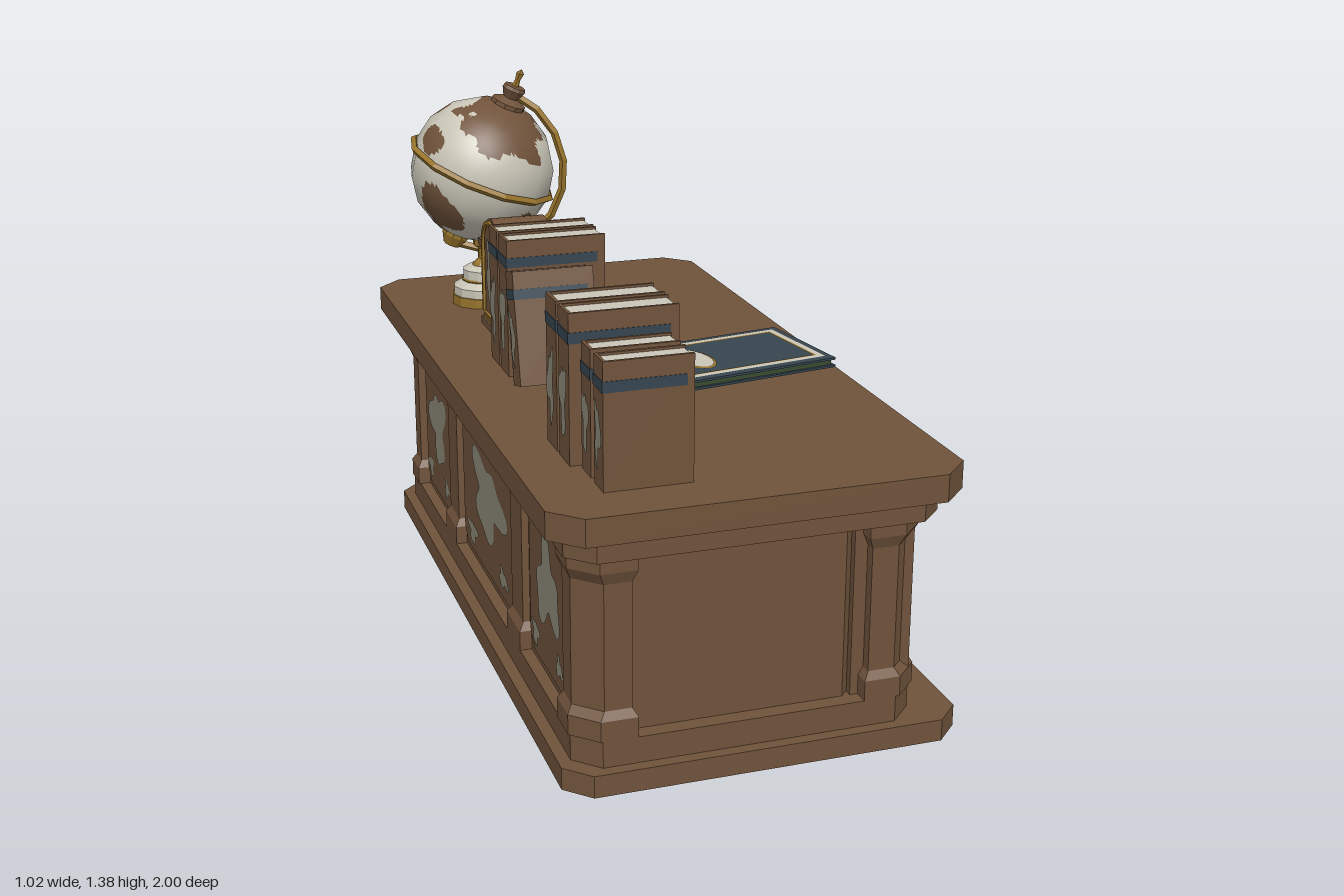
import * as THREE from 'three';

const mat = (name, color, side = THREE.FrontSide) => {
  const m = new THREE.MeshStandardMaterial({ color, side });
  m.name = name;
  return m;
};
const wood = mat('brown wood', 0x70533b), cream = mat('cream', 0xcac6b8), tan = mat('page tan', 0xb0a48c);
const gold = mat('gold', 0x98742c), blue = mat('navy blue', 0x2f4268), slate = mat('slate blue', 0x364550);
const green = mat('green', 0x394b32), red = mat('dark red', 0x652c32), grey = mat('faded grey', 0x8f8c7b);

function add(parent, name, geo, m, x = 0, y = 0, z = 0) {
  const mesh = new THREE.Mesh(geo, m);
  mesh.name = name;
  mesh.position.set(x, y, z);
  parent.add(mesh);
  return mesh;
}
const box = (w, h, d) => new THREE.BoxGeometry(w, h, d);
function group(parent, name, x = 0, y = 0, z = 0, ry = 0) {
  const g = new THREE.Group();
  g.name = name;
  g.position.set(x, y, z);
  g.rotation.y = ry;
  parent.add(g);
  return g;
}

// Rectangle in plan with a chamfer per corner: front -x, front +x, back +x, back -x
function plan(x0, x1, z0, z1, c, inset = 0) {
  const [a, b, d, e] = [x0 + inset, x1 - inset, z0 + inset, z1 - inset];
  const corners = [[a, e, 0, -1, 1, 0], [b, e, -1, 0, 0, -1], [b, d, 0, 1, -1, 0], [a, d, 1, 0, 0, 1]];
  return corners.flatMap(([x, z, ix, iz, ox, oz], i) => c[i]
    ? [[x + ix * c[i], z + iz * c[i]], [x + ox * c[i], z + oz * c[i]]] : [[x, z]]);
}

// Solid between stacked plans; levels are [y, inset]
function loft(x0, x1, z0, z1, c, levels) {
  const rings = levels.map(([y, inset]) => plan(x0, x1, z0, z1, c, inset).map(([x, z]) => [x, y, z]));
  const n = rings[0].length, top = rings[rings.length - 1], bot = rings[0], p = [];
  for (let k = 0; k + 1 < rings.length; k++) for (let i = 0; i < n; i++) {
    const j = (i + 1) % n, lo = rings[k], hi = rings[k + 1];
    p.push(...lo[i], ...lo[j], ...hi[j], ...lo[i], ...hi[j], ...hi[i]);
  }
  for (let i = 1; i + 1 < n; i++) p.push(...top[0], ...top[i], ...top[i + 1], ...bot[0], ...bot[i + 1], ...bot[i]);
  const g = new THREE.BufferGeometry();
  g.setAttribute('position', new THREE.Float32BufferAttribute(p, 3));
  g.computeVertexNormals();
  return g;
}

// Irregular flat patch
function blob(rx, ry, s) {
  const pts = [];
  for (let i = 0; i < 36; i++) {
    const a = i / 36 * Math.PI * 2, r = 0.85 + 0.22 * Math.sin(3 * a + s) + 0.16 * Math.sin(5 * a + 2 * s);
    pts.push(new THREE.Vector2(rx * r * Math.cos(a), ry * r * Math.sin(a)));
  }
  return new THREE.ShapeGeometry(new THREE.Shape(pts));
}
const oval = (rx, ry) => new THREE.CircleGeometry(1, 20).scale(rx, ry, 1);

// Rectangular flat ring
function frame(w, h, t) {
  const rect = (P, a, b) => new P([[-a, -b], [a, -b], [a, b], [-a, b]].map(q => new THREE.Vector2(...q)));
  const s = rect(THREE.Shape, w / 2, h / 2);
  s.holes.push(rect(THREE.Path, w / 2 - t, h / 2 - t));
  return new THREE.ShapeGeometry(s);
}

// Upright book with its spine on local +z
function book(parent, name, m, t, h, d, x, y, z, ry) {
  const g = group(parent, name, x, y, z, ry);
  for (const s of [-1, 1]) add(g, 'cover', box(0.008, h, d), m, s * (t / 2 - 0.004), h / 2, -d / 2);
  add(g, 'spine', box(t - 0.016, h, 0.008), m, 0, h / 2, -0.004);
  add(g, 'pages', box(t - 0.016, h - 0.012, d - 0.014), [cream, cream, cream, cream, tan, tan], 0, h / 2, -d / 2 - 0.003);
  return g;
}

function desk(root) {
  const g = group(root, 'desk'), all = v => [v, v, v, v];
  add(g, 'top', loft(-0.51, 0.48, -1, 1, all(0.07), [[0.633, 0], [0.7, 0]]), wood);
  add(g, 'topMoulding', loft(-0.46, 0.44, -0.95, 0.95, all(0.06), [[0.57, 0], [0.633, 0]]), wood);
  add(g, 'base', loft(-0.47, 0.44, -0.95, 0.95, all(0.06), [[0, 0], [0.055, 0]]), wood);
  add(g, 'plinth', loft(-0.44, 0.4, -0.92, 0.92, all(0.06), [[0.055, 0], [0.12, 0]]), wood);
  add(g, 'carcass', loft(-0.41, 0.25, -0.88, 0.88, all(0.03), [[0.12, 0], [0.57, 0]]), wood);
  const profile = [[0.12, 0], [0.17, 0], [0.19, 0.012], [0.5, 0.012], [0.53, 0], [0.57, 0]];
  for (const s of [1, -1]) {
    const z0 = s > 0 ? 0.77 : -0.92, z1 = z0 + 0.15;
    const f = s > 0 ? 0.06 : 0, b = s > 0 ? 0 : 0.06;
    add(g, 'cornerFoot', loft(0.3, 0.51, s > 0 ? 0.66 : -0.95, s > 0 ? 0.95 : -0.66, [0, f, b, 0], [[0, 0], [0.055, 0]]), wood);
    add(g, 'shelfCornerPost', loft(0.26, 0.41, z0, z1, [0, f, b, 0], profile), wood);
    add(g, 'backCornerPost', loft(-0.445, -0.295, z0, z1, [f, 0, 0, b], profile), wood);
    add(g, 'shelfEndWall', box(0.15, 0.45, 0.1), wood, 0.315, 0.345, s * 0.83);
    add(g, 'shelfDivider', loft(0.24, 0.4, s * 0.35 - 0.065, s * 0.35 + 0.065, all(0), profile), wood);
    add(g, 'backPilaster', loft(-0.44, -0.33, s * 0.35 - 0.065, s * 0.35 + 0.065, all(0), profile), wood);
  }
  // Shelf back strips and panelled back
  for (const [z, w] of [[0.595, 0.36], [0, 0.58], [-0.595, 0.36]]) {
    add(g, 'shelfBackStrip', box(0.006, 0.08, w), cream, 0.254, 0.53, z);
    const p = group(g, 'backPanel', -0.411, 0.345, z, -Math.PI / 2);
    const panel = loft(-w / 2 + 0.02, w / 2 - 0.02, -0.2, 0.2, all(0.035), [[0, 0], [0.007, 0.003]]).rotateX(Math.PI / 2);
    add(p, 'panelBoard', panel, wood);
    add(p, 'fadedPatch', blob(w * 0.31, 0.12, 1 + z * 3), grey, w * 0.03, 0.02, 0.009);
    add(p, 'fadedSpot', blob(w * 0.1, 0.035, z), grey, -w * 0.28, -0.14, 0.0092);
    add(p, 'fadedSpot', blob(w * 0.09, 0.03, 2 + z), grey, w * 0.3, -0.14, 0.0092);
  }
}

function shelfBooks(root) {
  const g = group(root, 'shelfBooks');
  const make = (name, m, zs, t, h, bands, ovals) => {
    for (const z of zs) {
      const b = book(g, name, m, t, h, 0.145, 0.4, 0.125, z, Math.PI / 2);
      for (const [y, bh, bm] of bands) add(b, 'spineBand', box(t, bh, 0.004), bm, 0, y, 0.001);
      for (const [y, rx, ry] of ovals) add(b, 'spineOval', oval(rx, ry), gold, 0, y, 0.005);
    }
  };
  make('blueBook', blue, [0.71, 0.592, 0.476], 0.104, 0.312,
    [[0.04, 0.008, gold], [0.27, 0.006, gold], [0.055, 0.004, gold]], [[0.15, 0.028, 0.068]]);
  make('brownBandedBook', wood, [0.252, 0.156], 0.078, 0.312,
    [[0.235, 0.045, cream], [0.262, 0.008, gold], [0.208, 0.008, gold], [0.035, 0.028, cream], [0.054, 0.008, gold], [0.16, 0.005, gold]], []);
  make('greenBook', green, [0.075, -0.01], 0.06, 0.312, [[0.045, 0.007, gold], [0.27, 0.007, gold], [0.21, 0.004, gold]], []);
  make('redBook', red, [-0.128, -0.23], 0.076, 0.268, [[0.045, 0.007, gold], [0.24, 0.007, gold]], [[0.2, 0.022, 0.018], [0.09, 0.02, 0.03]]);
  make('plainBrownBook', wood, [-0.487, -0.587, -0.687], 0.074, 0.312, [[0.048, 0.006, gold]],
    [[0.125, 0.022, 0.02], [0.075, 0.018, 0.014], [0.03, 0.022, 0.012]]);
}

function deskBooks(root) {
  const g = group(root, 'deskBooks');
  // Centre z, thickness, height, spine x, depth, lean
  const list = [[0.833, 0.068, 0.3, -0.36, 0.21, 0], [0.738, 0.072, 0.3, -0.36, 0.21, 0],
    [0.647, 0.085, 0.36, -0.385, 0.26, 0], [0.545, 0.086, 0.36, -0.385, 0.26, 0],
    [-0.022, 0.085, 0.36, -0.355, 0.26, 0], [-0.122, 0.085, 0.36, -0.355, 0.26, 0],
    [0.125, 0.072, 0.29, -0.36, 0.21, -0.23]];
  for (const [z, t, h, x, d, lean] of list) {
    const holder = group(g, lean ? 'leaningBook' : 'standingBook', 0, lean ? 0.709 : 0.7, z);
    holder.rotation.x = lean;
    const b = book(holder, 'book', wood, t, h, d, x, 0, 0, -Math.PI / 2);
    add(b, 'titleBand', box(t + 0.003, 0.026, d * 0.93), slate, 0, h - 0.058, -d * 0.465 + 0.002);
    add(b, 'wornSpine', blob(t * 0.36, h * 0.27, z * 9), grey, 0, h * 0.42, 0.003);
  }
  // Book lying on the desk
  const flat = group(g, 'lyingBook', 0.228, 0.7, 0.11, 0.165);
  for (const y of [0.011, 0.031]) add(flat, 'cover', box(0.436, 0.006, 0.308), slate, 0, y, 0);
  add(flat, 'pages', box(0.42, 0.014, 0.292), green, 0, 0.021, 0);
  const lay = (name, geo, m, x, y) => add(flat, name, geo.rotateX(-Math.PI / 2), m, x, y, 0);
  lay('creamBorder', frame(0.4, 0.272, 0.018), cream, 0, 0.036);
  lay('goldBorder', frame(0.364, 0.236, 0.006), gold, 0, 0.036);
  lay('ovalRim', oval(0.048, 0.086), gold, -0.118, 0.036);
  lay('oval', oval(0.041, 0.078), cream, -0.118, 0.038);
}

function clock(root) {
  const g = group(root, 'mantelClock', -0.3, 0.7, -0.378, -Math.PI / 2);
  const arch = (w, h) => {
    const s = new THREE.Shape([new THREE.Vector2(-w, 0), new THREE.Vector2(w, 0), new THREE.Vector2(w, h)]);
    s.absarc(0, h, w, 0, Math.PI, false);
    return s;
  };
  add(g, 'caseBody', box(0.196, 0.23, 0.15), wood, 0, 0.115, -0.077);
  add(g, 'foot', box(0.214, 0.02, 0.166), wood, 0, 0.01, -0.077);
  add(g, 'footTrim', box(0.2, 0.006, 0.156), gold, 0, 0.023, -0.077);
  for (const s of [-1, 1]) add(g, 'shoulder', box(0.05, 0.02, 0.165), wood, s * 0.1, 0.232, -0.077);
  add(g, 'archTop', new THREE.ExtrudeGeometry(arch(0.086, 0.235), { depth: 0.15, bevelEnabled: false, curveSegments: 8 }), wood, 0, 0, -0.152);
  const rim = arch(0.08, 0.19);
  rim.holes.push(arch(0.07, 0.19));
  add(g, 'doorRim', new THREE.ExtrudeGeometry(rim, { depth: 0.008, bevelEnabled: false, curveSegments: 8 }), gold, 0, 0.045, 0);
  add(g, 'wornFace', blob(0.052, 0.085, 2), grey, 0, 0.165, 0.003);
}

function globe(root) {
  const tilt = -0.4, turn = -0.43, g = group(root, 'globe', -0.24, 1.09, -0.71);
  // Each face is split finely so land and sea can meet on a ragged edge
  const base = new THREE.SphereGeometry(0.208, 12, 8).rotateZ(tilt).rotateY(turn).toNonIndexed().getAttribute('position');
  const land = [[0.25, 0.75, 0.5, 0.62], [-0.45, 0.8, -0.35, 0.2], [0.75, -0.55, -0.35, 0.5], [0.4, 0.55, -0.75, 0.24],
    [-0.4, -0.75, -0.45, 0.62], [-0.75, -0.45, 0.45, 0.38], [-0.75, 0.5, 0.3, 0.22], [-0.6, 0.35, -0.7, 0.22], [0.2, -0.8, 0.4, 0.4]]
    .map(([x, y, z, r]) => [new THREE.Vector3(x, y, z).normalize(), r]);
  const isLand = v => land.some(([c, r]) => c.angleTo(v) < r * (1 + 0.16 * Math.sin(v.x * 11 + v.y * 7) + 0.14 * Math.sin(v.z * 13 - v.y * 9)));
  const sides = { land: [], sea: [] }, N = 7;
  for (let f = 0; f < base.count; f += 3) {
    const [A, B, C] = [0, 1, 2].map(k => new THREE.Vector3().fromBufferAttribute(base, f + k));
    const at = (i, j) => A.clone().addScaledVector(B.clone().sub(A), i / N).addScaledVector(C.clone().sub(A), j / N);
    const tri = (...t) => {
      const mid = t[0].clone().add(t[1]).add(t[2]).normalize();
      sides[isLand(mid) ? 'land' : 'sea'].push(...t.flatMap(v => v.toArray()));
    };
    for (let i = 0; i < N; i++) for (let j = 0; i + j < N; j++) {
      tri(at(i, j), at(i + 1, j), at(i, j + 1));
      if (i + j < N - 1) tri(at(i + 1, j), at(i + 1, j + 1), at(i, j + 1));
    }
  }
  for (const [name, p] of Object.entries(sides)) {
    const geo = new THREE.BufferGeometry();
    geo.setAttribute('position', new THREE.Float32BufferAttribute(p, 3));
    geo.setAttribute('normal', new THREE.Float32BufferAttribute(p, 3));
    geo.normalizeNormals();
    add(g, name, geo, name === 'land' ? wood : cream);
  }
  // Tilted mount
  const mount = group(group(g, 'mountTurn', 0, 0, 0, turn), 'mount');
  mount.rotation.z = tilt;
  const lathe = (pts, n = 10) => new THREE.LatheGeometry(pts.map(q => new THREE.Vector2(...q)), n).toNonIndexed();
  const flat = geo => { geo.computeVertexNormals(); return geo; };
  add(mount, 'equatorRing', flat(new THREE.TorusGeometry(0.212, 0.011, 4, 12).toNonIndexed()), gold).rotation.x = Math.PI / 2;
  add(mount, 'meridianArm', flat(new THREE.TorusGeometry(0.238, 0.011, 4, 9, Math.PI).toNonIndexed()), gold).rotation.z = -Math.PI / 2;
  add(mount, 'poleCap', flat(lathe([[0, 0.2], [0.05, 0.2], [0.05, 0.212], [0.022, 0.225], [0.034, 0.25], [0.03, 0.26], [0, 0.262]])), wood);
  add(mount, 'poleNeedle', flat(lathe([[0.012, 0.255], [0.008, 0.28], [0.012, 0.3], [0, 0.312]], 6)), gold);
  add(mount, 'lowerCap', flat(lathe([[0, -0.25], [0.025, -0.245], [0.04, -0.215], [0.04, -0.2], [0, -0.2]])), gold);
  // Pedestal
  const st = group(root, 'globeStand', -0.245, 0.7, -0.695);
  add(st, 'standFoot', flat(lathe([[0, 0], [0.095, 0], [0.095, 0.028], [0, 0.028]], 12)), gold);
  add(st, 'standBody', flat(lathe([[0.09, 0.028], [0.09, 0.052], [0.062, 0.068], [0.062, 0.1], [0.045, 0.11], [0, 0.112]], 12)), cream);
  add(st, 'standTrim', flat(lathe([[0.064, 0.066], [0.066, 0.07], [0.064, 0.075]], 12)), gold);
  add(st, 'standStem', flat(lathe([[0.035, 0.108], [0.03, 0.118], [0.016, 0.13], [0.016, 0.16], [0.03, 0.17], [0.03, 0.185], [0, 0.19]])), gold);
}

export function createModel() {
  const root = new THREE.Group();
  root.name = 'libraryDesk';
  for (const build of [desk, shelfBooks, deskBooks, clock, globe]) build(root);
  return root;
}
